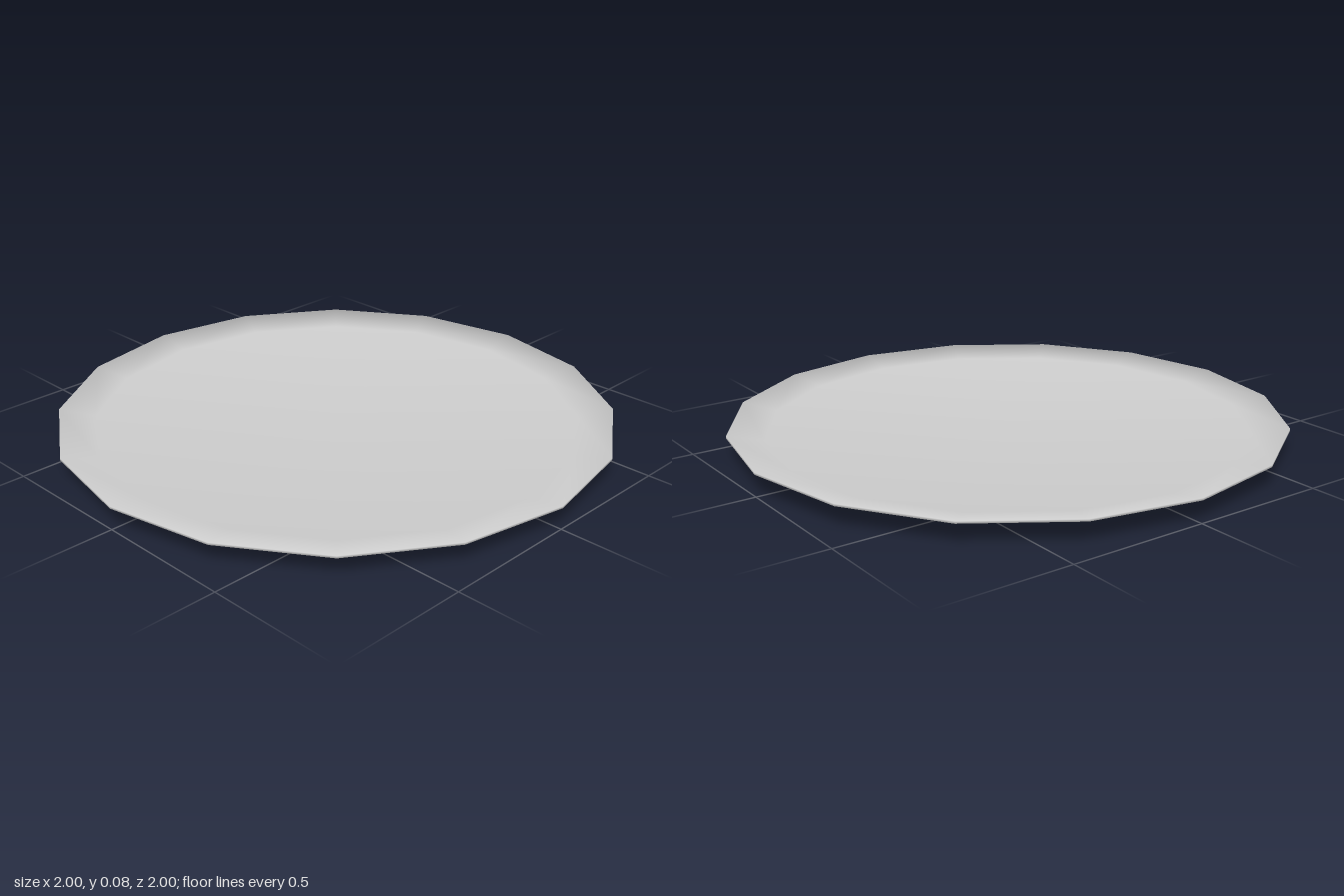
import * as THREE from 'three';

const SIDES = 16;
const positions = [], indices = [];

// Adds a ring of corners and returns a lookup that wraps around it
function ring(count, radius, y, offset = 0) {
  const first = positions.length / 3;
  for (let i = 0; i < count; i++) {
    const a = ((i + offset) / count) * Math.PI * 2;
    positions.push(radius * Math.cos(a), y, radius * Math.sin(a));
  }
  return (i) => first + ((i + count) % count);
}

// Joins two rings of equal count
function band(a, b, count) {
  for (let i = 0; i < count; i++) {
    indices.push(a(i), b(i), a(i + 1), a(i + 1), b(i), b(i + 1));
  }
}

// Smooth normals, each face weighted by its corner angle
function smoothNormals(geometry) {
  const normals = positions.map(() => 0);
  const at = (i) => new THREE.Vector3().fromArray(positions, i * 3);
  for (let f = 0; f < indices.length; f += 3) {
    for (let k = 0; k < 3; k++) {
      const [i, j, l] = [0, 1, 2].map((n) => indices[f + ((k + n) % 3)]);
      const u = at(j).sub(at(i)), v = at(l).sub(at(i));
      const n = u.clone().cross(v).normalize().multiplyScalar(u.angleTo(v));
      n.toArray().forEach((c, axis) => { normals[i * 3 + axis] += c; });
    }
  }
  geometry.setAttribute('normal', new THREE.Float32BufferAttribute(normals, 3));
  geometry.normalizeNormals();
}

export function createModel() {
  positions.length = indices.length = 0;

  // Low eight-sided foot
  const footCentre = ring(1, 0, 0);
  const footBottom = ring(8, 0.382, 0, -0.25);
  const footTop = ring(8, 0.382, 0.01, -0.25);
  for (let i = 0; i < 8; i++) indices.push(footCentre(0), footBottom(i), footBottom(i + 1));
  band(footBottom, footTop, 8);

  // Underside, widening from eight to sixteen sides
  const under = ring(SIDES, 0.87, 0.044);
  for (let i = 0; i < 8; i++) {
    indices.push(footTop(i), under(2 * i - 1), under(2 * i));
    indices.push(footTop(i), under(2 * i), under(2 * i + 1));
    indices.push(footTop(i), under(2 * i + 1), footTop(i + 1));
  }

  // Rim and hollow top
  const rimLow = ring(SIDES, 1, 0.076);
  const rimHigh = ring(SIDES, 1, 0.084);
  const floor = ring(SIDES, 0.87, 0.058);
  const floorCentre = ring(1, 0, 0.048);
  band(under, rimLow, SIDES);
  band(rimLow, rimHigh, SIDES);
  band(rimHigh, floor, SIDES);
  for (let i = 0; i < SIDES; i++) indices.push(floor(i), floorCentre(0), floor(i + 1));

  const geometry = new THREE.BufferGeometry();
  geometry.setAttribute('position', new THREE.Float32BufferAttribute(positions, 3));
  geometry.setIndex([...indices]);
  smoothNormals(geometry);

  const dish = new THREE.Mesh(geometry, new THREE.MeshStandardMaterial({ color: 0xcccccc }));
  dish.name = 'dish';
  const plate = new THREE.Group();
  plate.name = 'plate';
  plate.add(dish);
  return plate;
}
